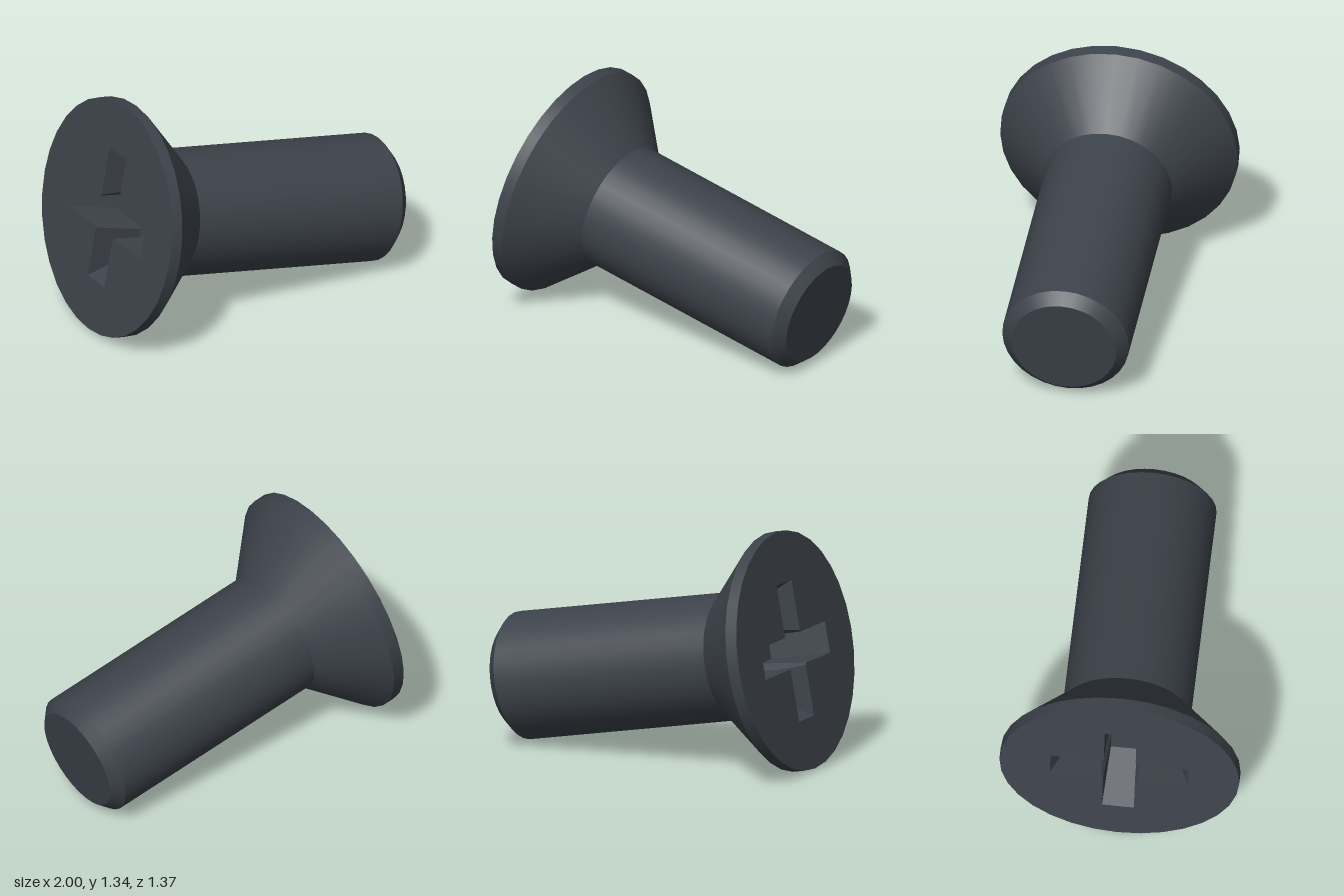
import * as THREE from 'three';

const SIDES = 32;

// Cross outline, counter-clockwise: arm length, half width, inner corner chamfer
function crossPoints(length, half, chamfer) {
  const arm = [[length, -half], [length, half], [half + chamfer, half], [half, half + chamfer]];
  const points = [];
  for (let k = 0; k < 4; k++) {
    for (const [x, y] of arm) {
      points.push(new THREE.Vector2(x, y).rotateAround(new THREE.Vector2(), k * Math.PI / 2));
    }
  }
  return points;
}

// Sloped walls between two outlines, facing inward
function recessWalls(top, bottom, depth) {
  const pos = [];
  const put = (p, y) => pos.push(p.x, y, p.y);
  for (let i = 0; i < top.length; i++) {
    const j = (i + 1) % top.length;
    put(top[i], 0); put(top[j], 0); put(bottom[j], depth);
    put(top[i], 0); put(bottom[j], depth); put(bottom[i], depth);
  }
  const g = new THREE.BufferGeometry();
  g.setAttribute('position', new THREE.Float32BufferAttribute(pos, 3));
  g.computeVertexNormals();
  return g;
}

export function createModel() {
  const steel = new THREE.MeshStandardMaterial({ color: 0x3d434b });
  steel.name = 'dark steel';
  const screw = new THREE.Group();
  screw.name = 'screw';
  const add = (name, geometry) => {
    const mesh = new THREE.Mesh(geometry, steel);
    mesh.name = name;
    screw.add(mesh);
    return mesh;
  };

  // Turned sections along the axis, separate so their edges stay sharp
  const sections = [
    ['headRim', 0.677, 0, 0.677, 0.07],
    ['headCone', 0.677, 0.07, 0.361, 0.39],
    ['shaft', 0.361, 0.39, 0.361, 1.74],
    ['tipChamfer', 0.361, 1.74, 0.299, 1.8],
  ];
  for (const [name, r0, y0, r1, y1] of sections) {
    add(name, new THREE.LatheGeometry([new THREE.Vector2(r0, y0), new THREE.Vector2(r1, y1)], SIDES));
  }
  add('tipFace', new THREE.CircleGeometry(0.299, SIDES, Math.PI / 2).rotateX(-Math.PI / 2)).position.y = 1.8;

  // Head face with a cross-shaped opening
  const depth = 0.3;
  const opening = crossPoints(0.39, 0.09, 0.01);
  const bottom = crossPoints(0.25, 0.075, 0.05);
  const rim = [];
  for (let i = 0; i < SIDES; i++) {
    const a = i / SIDES * Math.PI * 2;
    rim.push(new THREE.Vector2(0.677 * Math.cos(a), 0.677 * Math.sin(a)));
  }
  const face = new THREE.Shape(rim);
  face.holes.push(new THREE.Path(opening));
  add('headFace', new THREE.ShapeGeometry(face).rotateX(Math.PI / 2));

  // Drive recess
  add('recessWalls', recessWalls(opening, bottom, depth));
  add('recessFloor', new THREE.ShapeGeometry(new THREE.Shape(bottom)).rotateX(Math.PI / 2)).position.y = depth;

  // Lay the screw down along its tilted axis
  const axis = new THREE.Vector3(1, -0.192, 0.215).normalize();
  const side = new THREE.Vector3(-axis.z, 0, axis.x).normalize();
  const across = new THREE.Vector3().crossVectors(axis, side);
  screw.quaternion.setFromRotationMatrix(new THREE.Matrix4().makeBasis(across, axis, side));
  screw.position.set(-0.813, 0.6765, -0.03);

  const model = new THREE.Group();
  model.name = 'countersunkScrew';
  model.add(screw);
  return model;
}
